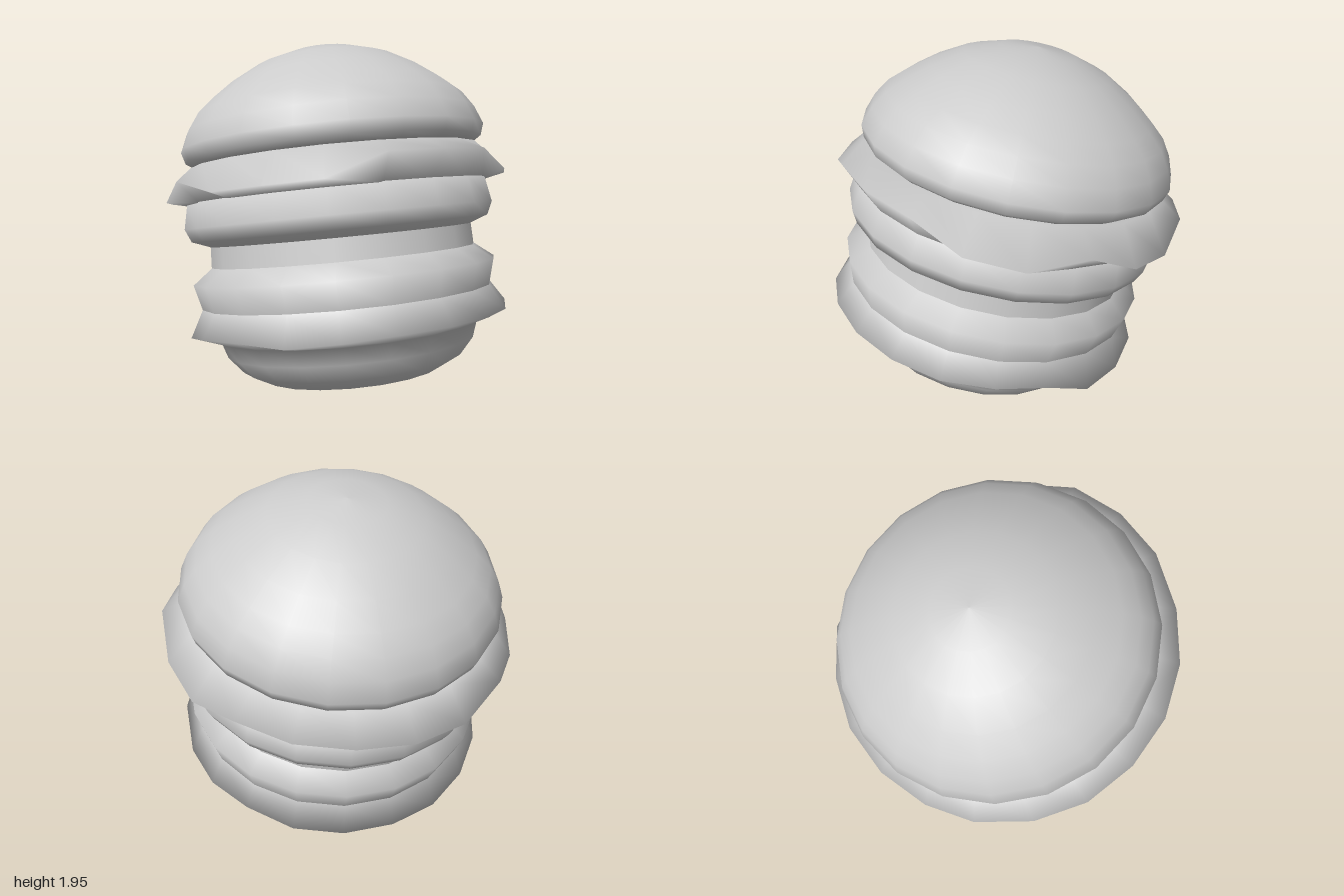
import * as THREE from 'three';
import { mergeVertices } from 'three/addons/utils/BufferGeometryUtils.js';

const SIDES = 20;
const HALF = Math.PI / SIDES;

// Round layer from [radius, height] pairs listed bottom to top.
// rimHeights, if given, sets the height of profile point rimIndex for each side.
function layer(name, profile, phase, rimIndex, rimHeights) {
  const points = profile.map(([r, y]) => new THREE.Vector2(r, y));
  let geo = new THREE.LatheGeometry(points, SIDES, phase);
  if (rimHeights) {
    const pos = geo.attributes.position;
    for (let i = 0; i <= SIDES; i++) {
      pos.setY(i * points.length + rimIndex, rimHeights[i % SIDES]);
    }
    geo.deleteAttribute('uv');
    geo.deleteAttribute('normal');
    geo = mergeVertices(geo, 1e-4);
    geo.computeVertexNormals();
  }
  const material = new THREE.MeshStandardMaterial({ color: 0xcccccc, side: THREE.DoubleSide });
  const mesh = new THREE.Mesh(geo, material);
  mesh.name = name;
  return mesh;
}

export function createModel() {
  const burger = new THREE.Group();
  burger.name = 'burger';

  // Bottom bun, flowing into the drooping slice on top of it
  burger.add(layer('bottomBun', [
    [0, 0], [0.2, 0.015], [0.34, 0.042], [0.51, 0.075], [0.63, 0.14], [0.71, 0.235],
    [0.74, 0.325], [0.9, 0.375], [0.825, 0.515],
  ], HALF, 7, [
    0.38, 0.38, 0.38, 0.4, 0.41, 0.33, 0.35, 0.39, 0.36, 0.36,
    0.36, 0.34, 0.35, 0.37, 0.37, 0.39, 0.39, 0.36, 0.37, 0.38,
  ]));

  // Lower patty
  burger.add(layer('lowerPatty', [[0.825, 0.515], [0.862, 0.655], [0.755, 0.738]], HALF));

  // Straight-sided slice between the patties
  burger.add(layer('middleSlice', [[0.755, 0.738], [0.75, 0.855]], HALF));

  // Upper patty
  burger.add(layer('upperPatty', [
    [0.75, 0.855], [0.85, 0.893], [0.882, 0.965], [0.855, 1.105], [0.7, 1.14],
  ], HALF));

  // Lettuce leaf with a folded, uneven rim
  burger.add(layer('lettuce', [
    [0.85, 1.095], [0.965, 1.2], [0.82, 1.3], [0.5, 1.3],
  ], HALF, 1, [
    1.23, 1.23, 1.13, 1.12, 1.21, 1.12, 1.11, 1.21, 1.2, 1.2,
    1.17, 1.14, 1.21, 1.12, 1.12, 1.21, 1.13, 1.13, 1.13, 1.23,
  ]));

  // Top bun with a tucked lower edge
  burger.add(layer('topBun', [
    [0, 1.3], [0.8, 1.305], [0.845, 1.335], [0.865, 1.4], [0.825, 1.5], [0.765, 1.59], [0.68, 1.665],
    [0.56, 1.755], [0.4, 1.848], [0.2, 1.915], [0, 1.935],
  ], 0));

  // The whole stack leans back
  burger.rotation.x = -0.229;
  burger.position.set(0, 0.048, 0.2045);

  const model = new THREE.Group();
  model.add(burger);
  return model;
}
